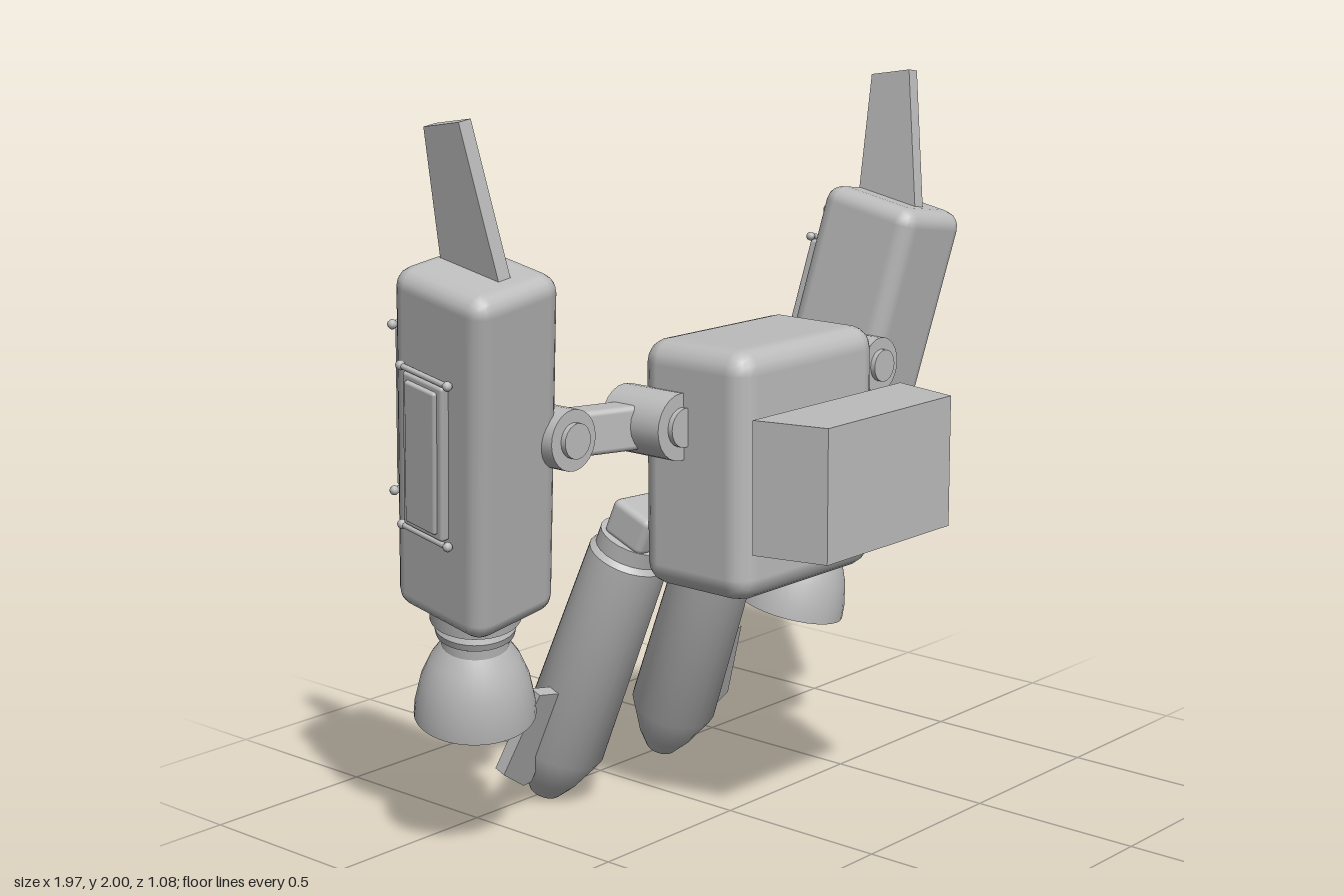
import * as THREE from 'three';
import { RoundedBoxGeometry } from 'three/addons/geometries/RoundedBoxGeometry.js';
import { toCreasedNormals } from 'three/addons/utils/BufferGeometryUtils.js';

const gray = new THREE.MeshStandardMaterial({ color: 0xbcbcbc });
gray.name = 'plain gray';

function add(parent, name, geometry, x = 0, y = 0, z = 0) {
  const mesh = new THREE.Mesh(geometry, gray);
  mesh.name = name;
  mesh.position.set(x, y, z);
  parent.add(mesh);
  return mesh;
}

function subgroup(parent, name, x, y, z) {
  const group = new THREE.Group();
  group.name = name;
  group.position.set(x, y, z);
  parent.add(group);
  return group;
}

const box = (w, h, d, r) => new RoundedBoxGeometry(w, h, d, 2, r);

// Turned part from [radius, height] pairs listed bottom to top
function turned(profile, sides = 24) {
  const pts = profile.map(([r, y]) => new THREE.Vector2(r, y));
  return toCreasedNormals(new THREE.LatheGeometry(pts, sides), 0.5);
}

// Flat plate cut from an outline, centred on its thickness
function plate(outline, thickness) {
  const shape = new THREE.Shape(outline.map(([x, y]) => new THREE.Vector2(x, y)));
  const geometry = new THREE.ExtrudeGeometry(shape, { depth: thickness, bevelEnabled: false });
  return geometry.translate(0, 0, -thickness / 2);
}

// Access hatch facing +z with a hinge rod at each end
function hatch(parent, name, w, h, x, y, z) {
  const group = subgroup(parent, name, x, y, z);
  add(group, 'hatchFrame', box(w, h, 0.04, 0.01));
  add(group, 'hatchDoor', box(w - 0.035, h - 0.035, 0.06, 0.008));
  for (const end of [-1, 1]) {
    const ry = end * (h / 2 + 0.008);
    const rod = add(group, 'hingeRod', new THREE.CylinderGeometry(0.008, 0.008, w + 0.03, 8), 0, ry, 0.012);
    rod.rotation.z = Math.PI / 2;
    for (const s of [-1, 1]) {
      add(group, 'hingeKnob', new THREE.SphereGeometry(0.013, 8, 6), s * (w / 2 + 0.012), ry, 0.012);
    }
  }
  return group;
}

// Round joint with its axis along z and a smaller cap at both ends
function joint(parent, name, x, y, z, r, length) {
  const group = subgroup(parent, name, x, y, z);
  group.rotation.x = Math.PI / 2;
  add(group, 'jointDrum', new THREE.CylinderGeometry(r, r, length, 24));
  add(group, 'jointCap', new THREE.CylinderGeometry(r * 0.58, r * 0.58, length + 0.03, 20));
}

function buildBody(model) {
  const body = subgroup(model, 'body', 0, 0, 0);
  add(body, 'bodyShell', box(0.57, 0.67, 0.365, 0.065), 0, 1.045, 0.105);
  hatch(body, 'backHatch', 0.2, 0.32, 0, 1.06, -0.088).rotation.y = Math.PI;
  for (let i = 0; i < 4; i++) {
    add(body, 'ventSlat', new THREE.BoxGeometry(0.2, 0.016, 0.04), 0, 0.775 + i * 0.03, -0.075);
  }
  // Floating front block, tapering towards the front
  const block = plate([[-0.31, -0.34], [0.31, -0.34], [0.26, -0.545], [-0.26, -0.545]], 0.355);
  add(body, 'frontBlock', block.rotateX(-Math.PI / 2), 0, 1.045, 0);
}

function buildArm(model, s) {
  const arm = subgroup(model, 'arm', 0, 0, 0);
  joint(arm, 'shoulderJoint', s * 0.295, 1.165, -0.015, 0.09, 0.2);
  joint(arm, 'wristJoint', s * 0.635, 1.18, -0.115, 0.08, 0.28);
  const bar = add(arm, 'armBar', box(0.34, 0.12, 0.09, 0.015), s * 0.47, 1.16, -0.09);
  bar.rotation.y = s * 0.34;
}

function buildPod(model, s) {
  const pod = subgroup(model, 'thrusterPod', s * 0.78, 1.167, -0.178);
  pod.rotation.set(0.19, 0, -s * 0.148);
  add(pod, 'podShell', box(0.287, 0.95, 0.325, 0.05));

  // Top fin
  const fin = plate([[-0.107, 0.43], [0.109, 0.43], [0.175, 0.8], [0.051, 0.845]], 0.04);
  add(pod, 'topFin', fin.rotateY(Math.PI / 2), -s * 0.008, 0, 0);

  // Open bell nozzle with its collar
  add(pod, 'nozzle', turned([
    [0.001, -0.6], [0.075, -0.6], [0.11, -0.66], [0.132, -0.72], [0.148, -0.8],
    [0.163, -0.8], [0.16, -0.76], [0.145, -0.69], [0.12, -0.63], [0.09, -0.585],
    [0.088, -0.56], [0.104, -0.55], [0.108, -0.53], [0.1, -0.515], [0.12, -0.505], [0.12, -0.45],
  ], 32));

  // Hatches on the outer and rear faces
  hatch(pod, 'outerHatch', 0.145, 0.43, s * 0.146, 0.01, -0.02).rotation.y = s * Math.PI / 2;
  hatch(pod, 'rearHatch', 0.2, 0.45, 0, 0.07, -0.172).rotation.y = Math.PI;

  // Grab handle above the rear hatch
  const path = new THREE.CurvePath();
  const pts = [[-0.06, -0.15], [-0.05, -0.2], [0.05, -0.2], [0.06, -0.15]];
  for (let i = 0; i < 3; i++) {
    path.add(new THREE.LineCurve3(
      new THREE.Vector3(pts[i][0], 0.34 + (i > 0 ? 0.045 : 0), pts[i][1]),
      new THREE.Vector3(pts[i + 1][0], 0.34 + (i < 2 ? 0.045 : 0), pts[i + 1][1])));
  }
  add(pod, 'grabHandle', new THREE.TubeGeometry(path, 24, 0.01, 6));
}

function buildLeg(model, s) {
  const leg = subgroup(model, 'legBooster', s * 0.2, 0.8, -0.17);
  leg.rotation.set(0.38, 0, s * 0.056);
  add(leg, 'legTube', turned([
    [0.001, -0.845], [0.045, -0.845], [0.08, -0.79], [0.125, -0.685],
    [0.113, -0.05], [0.1, -0.035], [0.1, 0.01], [0.001, 0.01],
  ]));
  add(leg, 'hipBlock', box(0.17, 0.11, 0.14, 0.02), -s * 0.01, 0.055, 0.01);

  // Outer stabiliser fin
  const outline = [[0.08, -0.48], [0.1, -0.78], [0.13, -0.785], [0.235, -0.72], [0.2, -0.46]];
  add(leg, 'legFin', plate(outline.map(([x, y]) => [s * x, y]), 0.035));
}

export function createModel() {
  const model = new THREE.Group();
  model.name = 'thrusterPack';
  buildBody(model);
  for (const s of [-1, 1]) {
    buildArm(model, s);
    buildPod(model, s);
    buildLeg(model, s);
  }
  return model;
}
